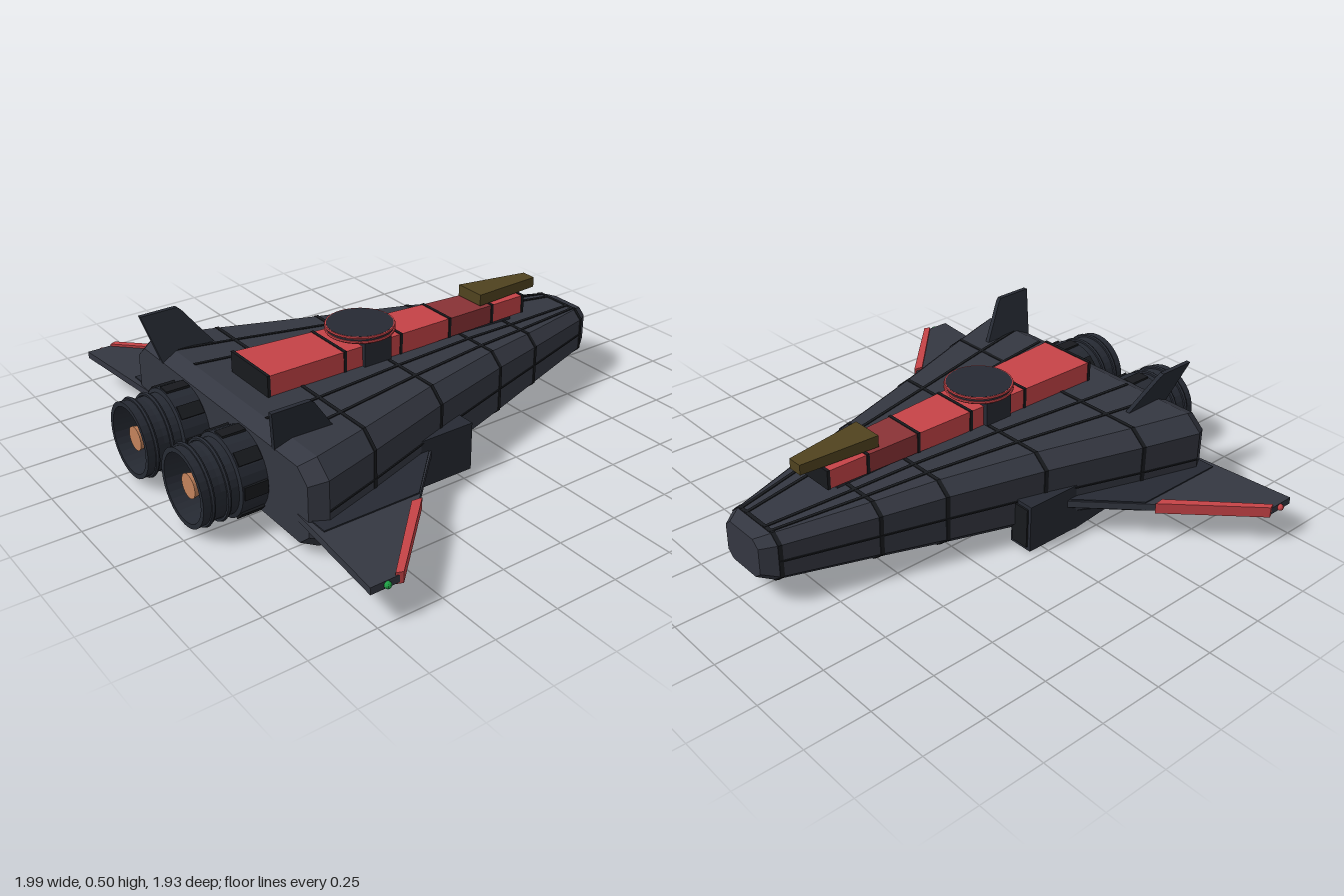
import * as THREE from 'three';

const mat = (color) => new THREE.MeshStandardMaterial({ color, flatShading: true, side: THREE.DoubleSide });
const HULL = mat(0x343741), DARK = mat(0x181a1e), METAL = mat(0x262a33), RED = mat(0xc64347),
  DEEP_RED = mat(0x8a3336), GOLD = mat(0x50431f), ORANGE = mat(0xb85f2e), COPPER = mat(0xc4835c), GREEN = mat(0x1fa045);

// Hull stations: z, half width, bottom, top
const STATIONS = [
  [-0.965, 0.1, 0.12, 0.275], [-0.91, 0.14, 0.1, 0.292], [-0.56, 0.245, 0.08, 0.315],
  [-0.32, 0.315, 0.062, 0.333], [0.05, 0.425, 0.045, 0.347], [0.43, 0.55, 0.03, 0.357],
  [0.66, 0.62, 0.022, 0.363], [0.72, 0.585, 0.045, 0.335],
];

function stationAt(z) {
  let i = 0;
  while (i < STATIONS.length - 2 && STATIONS[i + 1][0] < z) i++;
  const a = STATIONS[i], b = STATIONS[i + 1], t = (z - a[0]) / (b[0] - a[0]);
  return a.map((v, k) => v + (b[k] - v) * t);
}

// Octagonal hull section, counter-clockwise seen from +z
function hullRing(z, grow = 0) {
  let [, w, lo, hi] = stationAt(z);
  w += grow; lo -= grow; hi += grow;
  const c = (hi - lo) * 0.17, k = w - c * 1.15;
  return [[w, lo + c], [w, hi - c], [k, hi], [-k, hi], [-w, hi - c], [-w, lo + c], [-k, lo], [k, lo]]
    .map(([x, y]) => new THREE.Vector3(x, y, z));
}

const boxRing = (z, w, lo, hi, x = 0) => [[w, lo], [w, hi], [-w, hi], [-w, lo]]
  .map(([px, py]) => new THREE.Vector3(px + x, py, z));

// Closed solid through rings of points ordered by rising z
function loft(rings) {
  const pos = [], tri = (...p) => p.forEach((v) => pos.push(v.x, v.y, v.z));
  const n = rings[0].length, last = rings[rings.length - 1];
  for (let r = 0; r < rings.length - 1; r++) {
    const a = rings[r], b = rings[r + 1];
    for (let i = 0; i < n; i++) {
      const j = (i + 1) % n;
      tri(a[i], a[j], b[j]);
      tri(a[i], b[j], b[i]);
    }
  }
  for (let i = 1; i < n - 1; i++) {
    tri(rings[0][0], rings[0][i + 1], rings[0][i]);
    tri(last[0], last[i], last[i + 1]);
  }
  const g = new THREE.BufferGeometry();
  g.setAttribute('position', new THREE.Float32BufferAttribute(pos, 3));
  g.computeVertexNormals();
  return g;
}

// Horizontal plate from [x, z] corners
function plate(points, y, thick) {
  const shape = new THREE.Shape(points.map(([x, z]) => new THREE.Vector2(x, -z)));
  return new THREE.ExtrudeGeometry(shape, { depth: thick, bevelEnabled: false }).rotateX(-Math.PI / 2).translate(0, y, 0);
}

export function createModel() {
  const model = new THREE.Group();
  const add = (name, geometry, material, parent = model) => {
    const m = new THREE.Mesh(geometry, material);
    m.name = name;
    parent.add(m);
    return m;
  };
  const box = (name, w, h, d, x, y, z, material, parent) =>
    add(name, new THREE.BoxGeometry(w, h, d).translate(x, y, z), material, parent);
  const bar = (name, a, b, size) => {
    const m = add(name, new THREE.BoxGeometry(size, size * 0.6, a.distanceTo(b)), DARK);
    m.position.copy(a).lerp(b, 0.5);
    m.lookAt(b);
  };

  // Hull and its panel seams
  add('hull', loft(STATIONS.map((s) => hullRing(s[0]))), HULL);
  for (const z of [-0.905, -0.56, -0.32, 0.05, 0.43])
    add('crossSeam', loft([hullRing(z - 0.007, 0.003), hullRing(z + 0.007, 0.003)]), DARK);
  for (let i = 1; i < STATIONS.length - 2; i++) {
    const [z0, w0, lo0, hi0] = STATIONS[i], [z1, w1, lo1, hi1] = STATIONS[i + 1];
    for (const s of [-1, 1]) {
      for (const f of [0.4, 0.64])
        bar('topSeam', new THREE.Vector3(s * f * w0, hi0, z0), new THREE.Vector3(s * f * w1, hi1, z1), 0.012);
      bar('bottomSeam', new THREE.Vector3(s * 0.5 * w0, lo0, z0), new THREE.Vector3(s * 0.5 * w1, lo1, z1), 0.01);
      bar('sideSeam', new THREE.Vector3(s * w0, (lo0 + hi0) / 2, z0), new THREE.Vector3(s * w1, (lo1 + hi1) / 2, z1), 0.009);
    }
  }

  // Tapered dorsal spine in segments with dark joints
  const spineRing = (z, grow = 0) => {
    const t = (z + 0.65) / 1.22;
    return boxRing(z, 0.065 + 0.055 * t + grow, 0.335 + 0.015 * t, 0.408 + 0.032 * t + grow);
  };
  const cuts = [-0.645, -0.48, -0.26, -0.02, 0.24, 0.57];
  for (let i = 0; i < cuts.length - 1; i++)
    add('spineSegment', loft([spineRing(cuts[i]), spineRing(cuts[i + 1])]), i === 1 ? DEEP_RED : RED);
  for (const z of cuts)
    add('spineJoint', loft([spineRing(z - 0.006, 0.003), spineRing(z + 0.006, 0.003)]), DARK);
  add('spineFoot', loft([boxRing(-0.6, 0.05, 0.3, 0.34), boxRing(-0.3, 0.07, 0.3, 0.345)]), METAL);

  // Cockpit wedge on the spine
  add('canopy', loft([boxRing(-0.735, 0.03, 0.412, 0.452), boxRing(-0.425, 0.065, 0.42, 0.466)]), GOLD);

  // Dorsal turret
  box('turretNeck', 0.23, 0.1, 0.12, 0, 0.4, 0.1, METAL);
  add('turretDisc', new THREE.CylinderGeometry(0.125, 0.125, 0.03, 32).translate(0, 0.457, 0.1), METAL);
  for (const y of [0.449, 0.467])
    add('turretRing', new THREE.TorusGeometry(0.127, 0.005, 6, 40).rotateX(Math.PI / 2).translate(0, y, 0.1), RED);

  // Belly hatch and small vents
  add('bellyHatch', new THREE.CylinderGeometry(0.125, 0.125, 0.03, 32).translate(0, 0.05, -0.16), DARK);
  add('bellyRing', new THREE.TorusGeometry(0.127, 0.007, 6, 40).rotateX(Math.PI / 2).translate(0, 0.04, -0.16), RED);
  for (const z of [-0.5, -0.4])
    for (const s of [-1, 1]) box('bellyVent', 0.04, 0.02, 0.06, s * 0.1, 0.07, z, DARK);

  for (const s of [-1, 1]) {
    const side = new THREE.Group();
    side.name = s > 0 ? 'leftSide' : 'rightSide';
    model.add(side);
    const flip = (pts) => pts.map(([x, z]) => [s * x, z]);

    // Wing, coloured leading edge and tip light
    add('wing', plate(flip([[0.38, 0.04], [0.46, 0.12], [0.98, 0.65], [0.98, 0.762], [0.45, 0.715]]), 0.127, 0.027), HULL, side);
    add('wingRoot', plate(flip([[0.4, 0.1], [0.47, 0.14], [0.66, 0.33], [0.66, 0.71], [0.4, 0.71]]), 0.122, 0.037), METAL, side);
    add('wingEdge', plate(flip([[0.695, 0.345], [0.985, 0.64], [0.975, 0.665], [0.69, 0.385]]), 0.122, 0.042), RED, side);
    add('tipLight', new THREE.SphereGeometry(0.013, 12, 8).translate(s * 0.984, 0.14, 0.7), s > 0 ? GREEN : RED, side);

    // Side intake with a fairing tapering aft
    box('intake', 0.1, 0.19, 0.23, s * 0.415, 0.11, 0.055, METAL, side);
    box('intakeFrame', 0.075, 0.16, 0.01, s * 0.415, 0.11, -0.062, DARK, side);
    add('intakeFairing', loft([boxRing(0.17, 0.05, 0.012, 0.1, s * 0.415), boxRing(0.45, 0.03, 0.015, 0.04, s * 0.41)]), METAL, side);

    // Outward-leaning tail fin
    const finShape = new THREE.Shape([[0.5, 0.33], [0.5, 0.36], [0.6, 0.495], [0.615, 0.508], [0.765, 0.508], [0.72, 0.33]]
      .map(([z, y]) => new THREE.Vector2(z, y)));
    const fin = new THREE.ExtrudeGeometry(finShape, { depth: 0.018, bevelEnabled: false }).translate(0, 0, -0.009).rotateY(-Math.PI / 2);
    const p = fin.attributes.position;
    for (let i = 0; i < p.count; i++) p.setX(i, p.getX(i) + s * (0.385 + (p.getY(i) - 0.33) * 0.37));
    fin.computeVertexNormals();
    add('tailFin', fin, METAL, side);

    // Engine: housing, ribbed nozzle, glowing core and plug
    const engine = new THREE.Group();
    engine.name = 'engine';
    engine.position.set(s * 0.195, 0.175, 0);
    side.add(engine);
    const profile = [[0.15, 0.68], [0.153, 0.82], [0.138, 0.825], [0.136, 0.89], [0.144, 0.963], [0.126, 0.963], [0.118, 0.85], [0, 0.85]];
    add('nozzle', new THREE.LatheGeometry(profile.map(([r, z]) => new THREE.Vector2(r, z)), 32).rotateX(Math.PI / 2), METAL, engine);
    for (const z of [0.865, 0.925])
      add('nozzleRib', new THREE.TorusGeometry(0.143, 0.008, 6, 32).translate(0, 0, z), METAL, engine);
    for (let i = 0; i < 8; i++)
      box('housingBlock', 0.05, 0.012, 0.09, 0, 0.152, 0.77, DARK, engine).rotation.z = (i * Math.PI) / 4;
    add('engineCore', new THREE.CylinderGeometry(0.119, 0.119, 0.01, 32).rotateX(Math.PI / 2).translate(0, 0, 0.856), ORANGE, engine);
    add('enginePlug', new THREE.CylinderGeometry(0.046, 0.03, 0.08, 20).rotateX(Math.PI / 2).translate(0, 0, 0.9), COPPER, engine);
  }
  return model;
}
